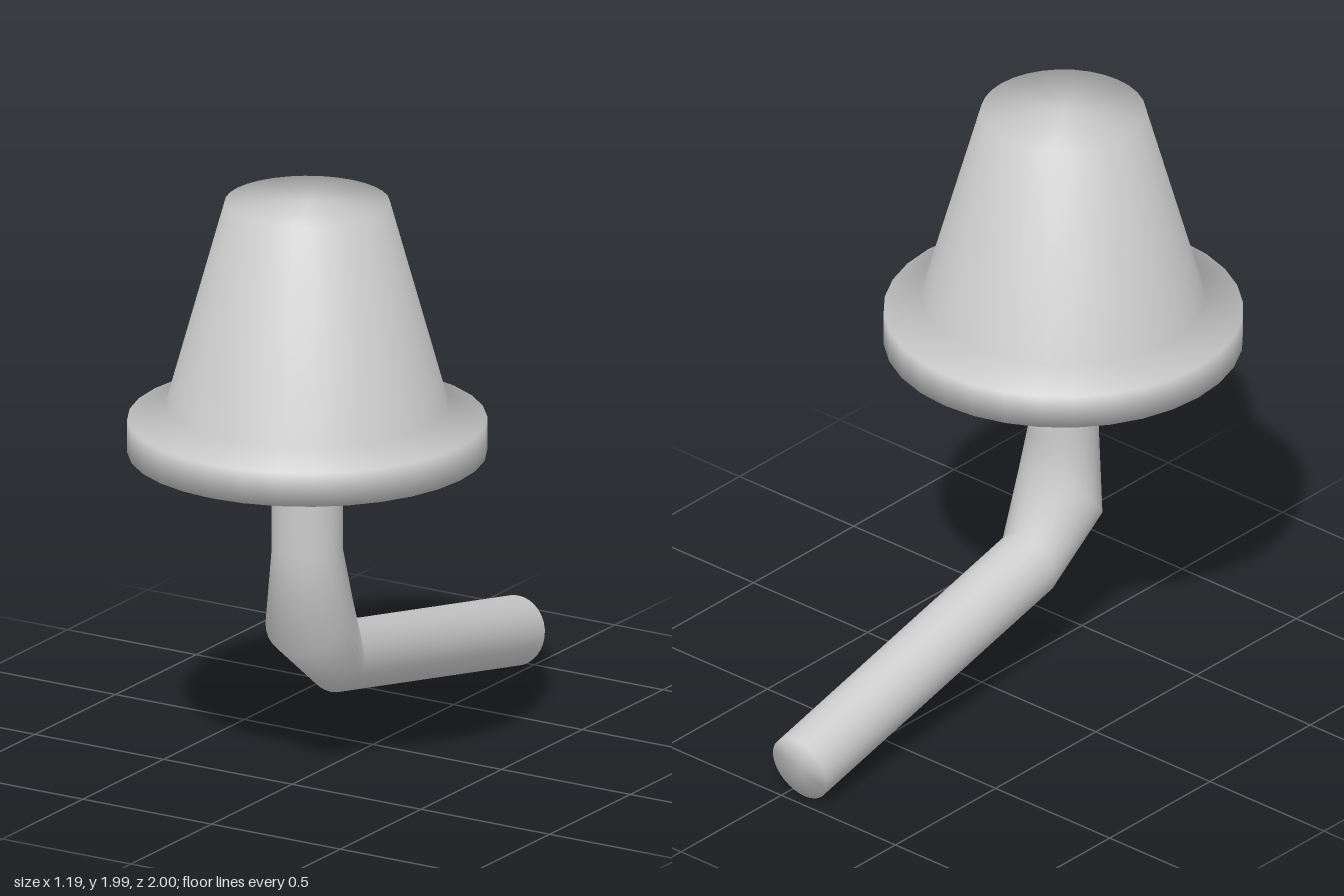
import * as THREE from 'three';

const AXIS_Z = 0.407; // the shade and upper pipe share this vertical axis
const SIDES = 32;

// Smooth pipe through circular rings; each ring lies in the plane of x and its own tilt direction
function loftPipe(rings) {
  const positions = [], index = [];
  for (const { x, y, z, r, tilt } of rings) {
    const [dy, dz] = tilt;
    const len = Math.hypot(dy, dz);
    for (let j = 0; j < SIDES; j++) {
      const a = (j / SIDES) * Math.PI * 2;
      const u = r * Math.cos(a), v = r * Math.sin(a) / len;
      positions.push(x + u, y + v * dy, z + v * dz);
    }
  }
  for (let i = 0; i < rings.length - 1; i++) {
    for (let j = 0; j < SIDES; j++) {
      const k = (j + 1) % SIDES;
      const a = i * SIDES + j, b = i * SIDES + k;
      index.push(a, a + SIDES, b, b, a + SIDES, b + SIDES);
    }
  }
  // Closed far end
  const last = rings[rings.length - 1];
  const base = (rings.length - 1) * SIDES;
  const centre = positions.length / 3;
  positions.push(last.x, last.y, last.z);
  for (let j = 0; j < SIDES; j++) index.push(centre, base + (j + 1) % SIDES, base + j);

  const geometry = new THREE.BufferGeometry();
  geometry.setAttribute('position', new THREE.Float32BufferAttribute(positions, 3));
  geometry.setIndex(index);
  geometry.computeVertexNormals();
  return geometry;
}

export function createModel() {
  const group = new THREE.Group();
  group.name = 'lampWithBentPipe';
  const material = new THREE.MeshStandardMaterial({ color: 0xcccccc });

  // Tapered shade with a flared rim, closed above and below
  const profile = [
    [0, 1.135], [0.593, 1.135], [0.593, 1.25], [0.467, 1.3], [0.272, 2], [0, 2],
  ].map(([r, y]) => new THREE.Vector2(r, y));
  const shade = new THREE.Mesh(new THREE.LatheGeometry(profile, SIDES), material);
  shade.name = 'shade';
  shade.position.z = AXIS_Z;
  group.add(shade);

  // Pipe: straight down, a swollen elbow, then a long arm to the back
  const pipe = new THREE.Mesh(loftPipe([
    { x: 0, y: 1.135, z: AXIS_Z, r: 0.117, tilt: [0, -1] },
    { x: 0, y: 0.8, z: AXIS_Z, r: 0.117, tilt: [0, -1] },
    { x: 0, y: 0.567, z: 0.394, r: 0.156, tilt: [0.225, -0.22] },
    { x: -0.01, y: 0.37, z: 0.222, r: 0.117, tilt: [0.23, -0.045] },
    { x: -0.062, y: 0.122, z: -0.977, r: 0.117, tilt: [0.23, -0.046] },
  ]), material);
  pipe.name = 'pipe';
  group.add(pipe);

  return group;
}
